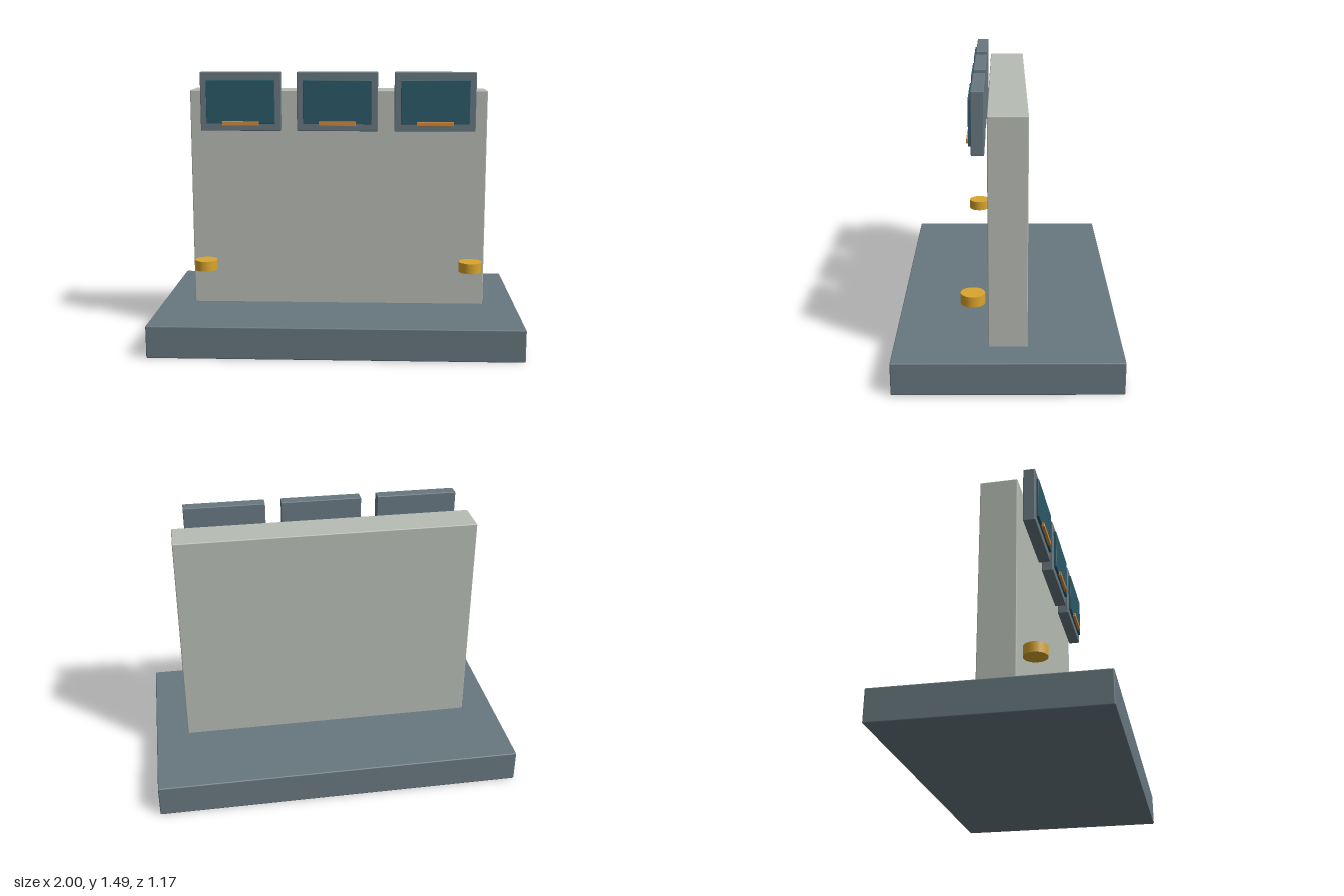
import * as THREE from 'three';
import { RoundedBoxGeometry } from 'three/addons/geometries/RoundedBoxGeometry.js';

const paint = (color) => new THREE.MeshStandardMaterial({ color });

// Slightly eased box given by its width, its centre x and its y and z ranges
function block(name, material, width, x, [y0, y1], [z0, z1], edge = 0.004) {
  const geometry = new RoundedBoxGeometry(width, y1 - y0, z1 - z0, 2, edge);
  const mesh = new THREE.Mesh(geometry, material);
  mesh.name = name;
  mesh.position.set(x, (y0 + y1) / 2, (z0 + z1) / 2);
  return mesh;
}

export function createModel() {
  const model = new THREE.Group();
  model.name = 'displayWall';

  const slate = paint(0x687880);
  const stone = paint(0xb7bcb4);
  const glass = paint(0x2a5a68);
  const amber = paint(0xd48a3c);
  const gold = paint(0xd9a62e);

  // Plinth and upright wall
  model.add(block('base', slate, 2, 0, [0, 0.176], [-0.585, 0.585], 0.006));
  model.add(block('wall', stone, 1.64, 0, [0.17, 1.382], [-0.1, 0.1], 0.005));

  // Row of three framed screens, each with a light bar
  for (const x of [-0.53, 0, 0.53]) {
    const monitor = new THREE.Group();
    monitor.name = 'monitor';
    monitor.position.x = x;
    monitor.add(
      block('frame', slate, 0.44, 0, [1.166, 1.486], [0.115, 0.18]),
      block('screen', glass, 0.372, 0, [1.206, 1.442], [0.175, 0.194], 0.002),
      block('lightBar', amber, 0.2, 0, [1.197, 1.22], [0.19, 0.206], 0.002)
    );
    model.add(monitor);
  }

  // Round knobs near the lower corners
  for (const side of [-1, 1]) {
    const knob = new THREE.Mesh(new THREE.CylinderGeometry(0.063, 0.063, 0.056, 24), gold);
    knob.name = side > 0 ? 'leftKnob' : 'rightKnob';
    knob.position.set(side * 0.737, 0.413, 0.178);
    model.add(knob);
  }

  return model;
}
